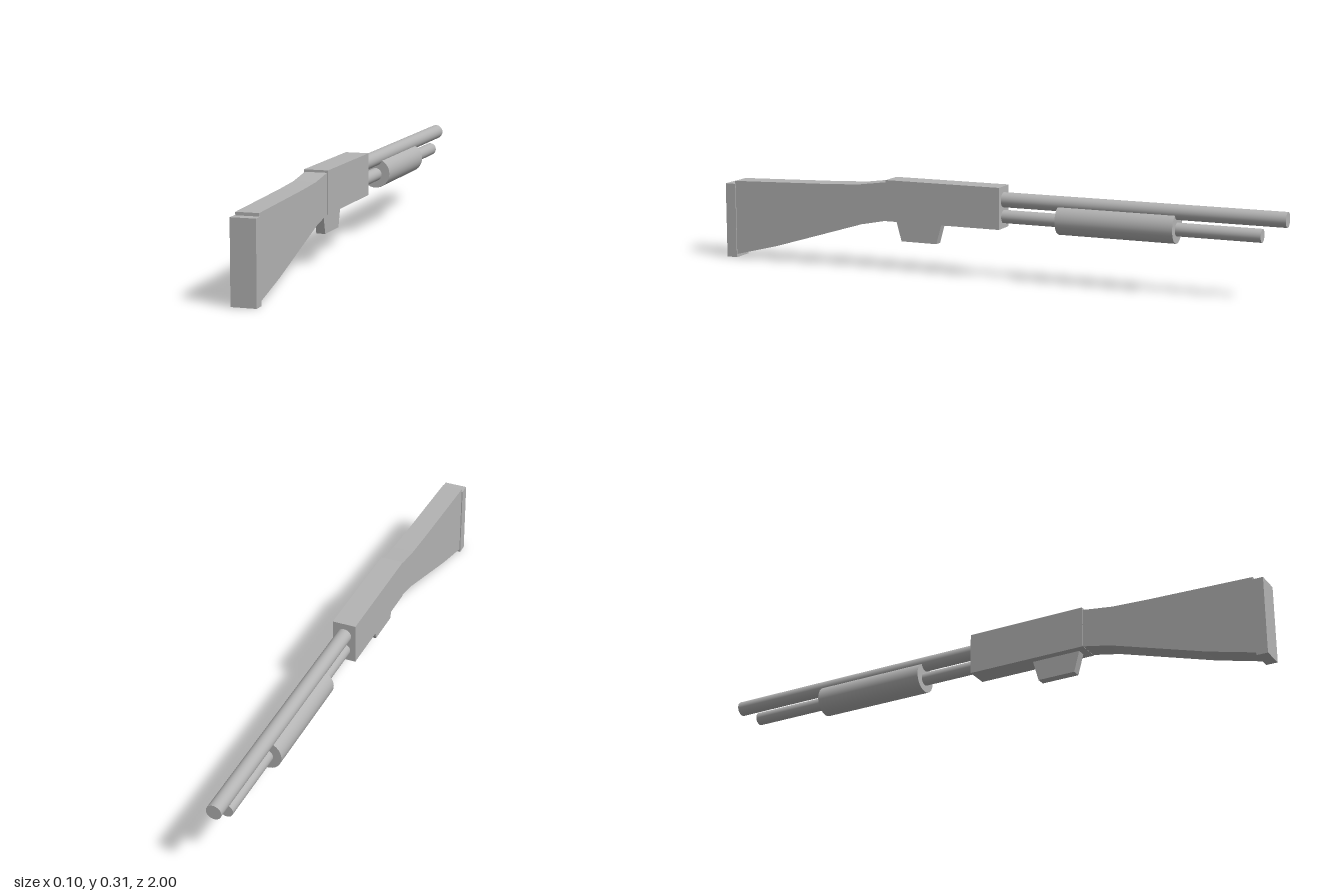
import * as THREE from 'three';

const steel = new THREE.MeshStandardMaterial({ color: 0xb4b4b4 });
steel.name = 'plain grey';

function add(group, name, geometry, x = 0, y = 0, z = 0) {
  const mesh = new THREE.Mesh(geometry, steel);
  mesh.name = name;
  mesh.position.set(x, y, z);
  group.add(mesh);
}

// Cylinder running along z between two ends
function rod(group, name, radius, y, zFront, zBack) {
  const g = new THREE.CylinderGeometry(radius, radius, zFront - zBack, 32).rotateX(Math.PI / 2);
  add(group, name, g, 0, y, (zFront + zBack) / 2);
}

// Block spanning y and z ranges, centred on x
function block(group, name, width, y0, y1, z0, z1) {
  add(group, name, new THREE.BoxGeometry(width, y1 - y0, z1 - z0), 0, (y0 + y1) / 2, (z0 + z1) / 2);
}

// Side outline of [z, y] points, extruded across x
function slab(group, name, width, outline) {
  const shape = new THREE.Shape(outline.map(([z, y]) => new THREE.Vector2(-z, y)));
  const g = new THREE.ExtrudeGeometry(shape, { depth: width, bevelEnabled: false });
  g.translate(0, 0, -width / 2).rotateY(Math.PI / 2);
  add(group, name, g);
}

export function createModel() {
  const model = new THREE.Group();
  model.name = 'shotgun';

  block(model, 'receiver', 0.08, 0.17, 0.31, -0.04, 0.375);
  block(model, 'buttPad', 0.08, 0, 0.26, 0.962, 1);

  // Stock sweeps down and widens towards the butt
  slab(model, 'stock', 0.073, [
    [0.37, 0.303], [0.48, 0.288], [0.6, 0.282], [0.965, 0.27],
    [0.965, 0.01], [0.8, 0.052], [0.47, 0.152], [0.37, 0.172],
  ]);

  // Trapezoid guard under the receiver
  slab(model, 'triggerGuard', 0.03, [
    [0.35, 0.172], [0.33, 0.1], [0.2, 0.1], [0.18, 0.172],
  ]);

  rod(model, 'barrel', 0.025, 0.265, -0.03, -1);
  rod(model, 'magazineTube', 0.022, 0.209, -0.03, -0.92);
  rod(model, 'foreEnd', 0.05, 0.213, -0.24, -0.64);

  return model;
}
